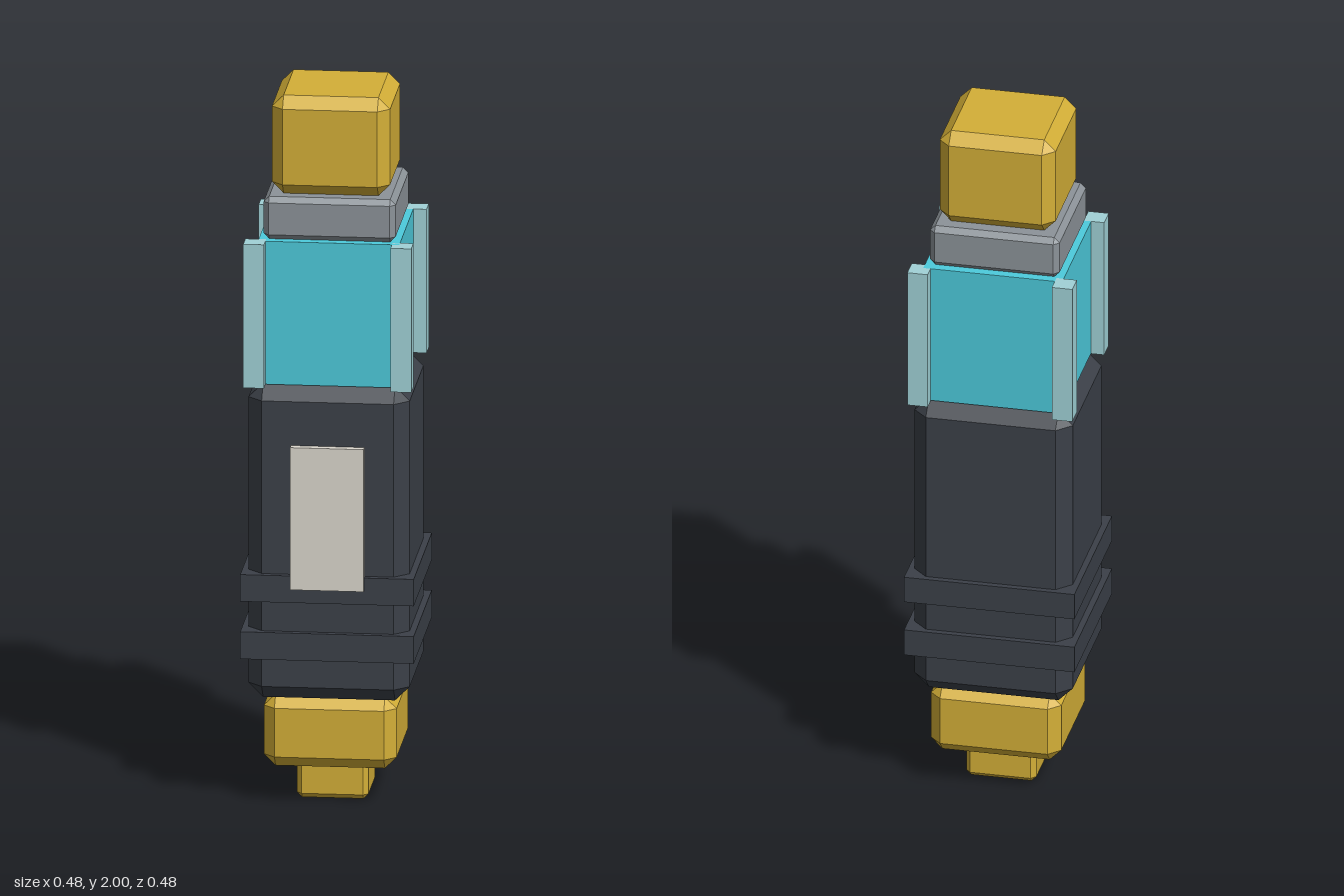
import * as THREE from 'three';
import { ConvexGeometry } from 'three/addons/geometries/ConvexGeometry.js';

const ZC = -0.003; // axis offset that balances the front plate

function material(name, color) {
  const m = new THREE.MeshStandardMaterial({ color });
  m.name = name;
  return m;
}

// Square block of half width h between y0 and y1, all edges cut by c
function chamferedBlock(h, y0, y1, c) {
  const half = (y1 - y0) / 2, points = [];
  for (const x of [-1, 1]) for (const y of [-1, 1]) for (const z of [-1, 1]) {
    points.push(
      new THREE.Vector3(x * h, y * (half - c), z * (h - c)),
      new THREE.Vector3(x * (h - c), y * half, z * (h - c)),
      new THREE.Vector3(x * (h - c), y * (half - c), z * h));
  }
  return new ConvexGeometry(points);
}

export function createModel() {
  const group = new THREE.Group();
  const gold = material('gold', 0xd4af37);
  const grey = material('steel grey', 0x8c9399);
  const cyan = material('cyan', 0x4dcbdc);
  const dark = material('charcoal', 0x3b4048);
  const pale = material('pale teal', 0xa1d2d7);
  const cream = material('warm grey', 0xdbd7cd);

  function add(name, geometry, mat, x, y, z) {
    const mesh = new THREE.Mesh(geometry, mat);
    mesh.name = name;
    mesh.position.set(x, y, z);
    group.add(mesh);
  }
  const block = (name, mat, h, y0, y1, c) =>
    add(name, chamferedBlock(h, y0, y1, c), mat, 0, (y0 + y1) / 2, ZC);
  const box = (name, mat, w, y0, y1, d, x = 0, z = ZC) =>
    add(name, new THREE.BoxGeometry(w, y1 - y0, d), mat, x, (y0 + y1) / 2, z);

  // Stacked sections, from the bottom up
  block('tip', gold, 0.098, 0, 0.106, 0.014);
  block('lowerCollar', gold, 0.182, 0.106, 0.308, 0.032);
  block('body', dark, 0.221, 0.308, 1.197, 0.04);
  box('glowSection', cyan, 0.388, 1.197, 1.602, 0.388);
  block('neckRing', grey, 0.181, 1.602, 1.722, 0.015);
  block('cap', gold, 0.162, 1.722, 2, 0.032);

  // Grip bands
  box('lowerBand', dark, 0.476, 0.429, 0.506, 0.476);
  box('upperBand', dark, 0.476, 0.592, 0.668, 0.476);

  // Corner posts around the glowing section
  for (const sx of [-1, 1]) for (const sz of [-1, 1]) {
    box('cornerPost', pale, 0.057, 1.195, 1.602, 0.057, sx * 0.202, ZC + sz * 0.202);
  }

  // Plate on the front of the body
  box('frontPlate', cream, 0.202, 0.63, 1.033, 0.022, 0, 0.229);

  return group;
}
